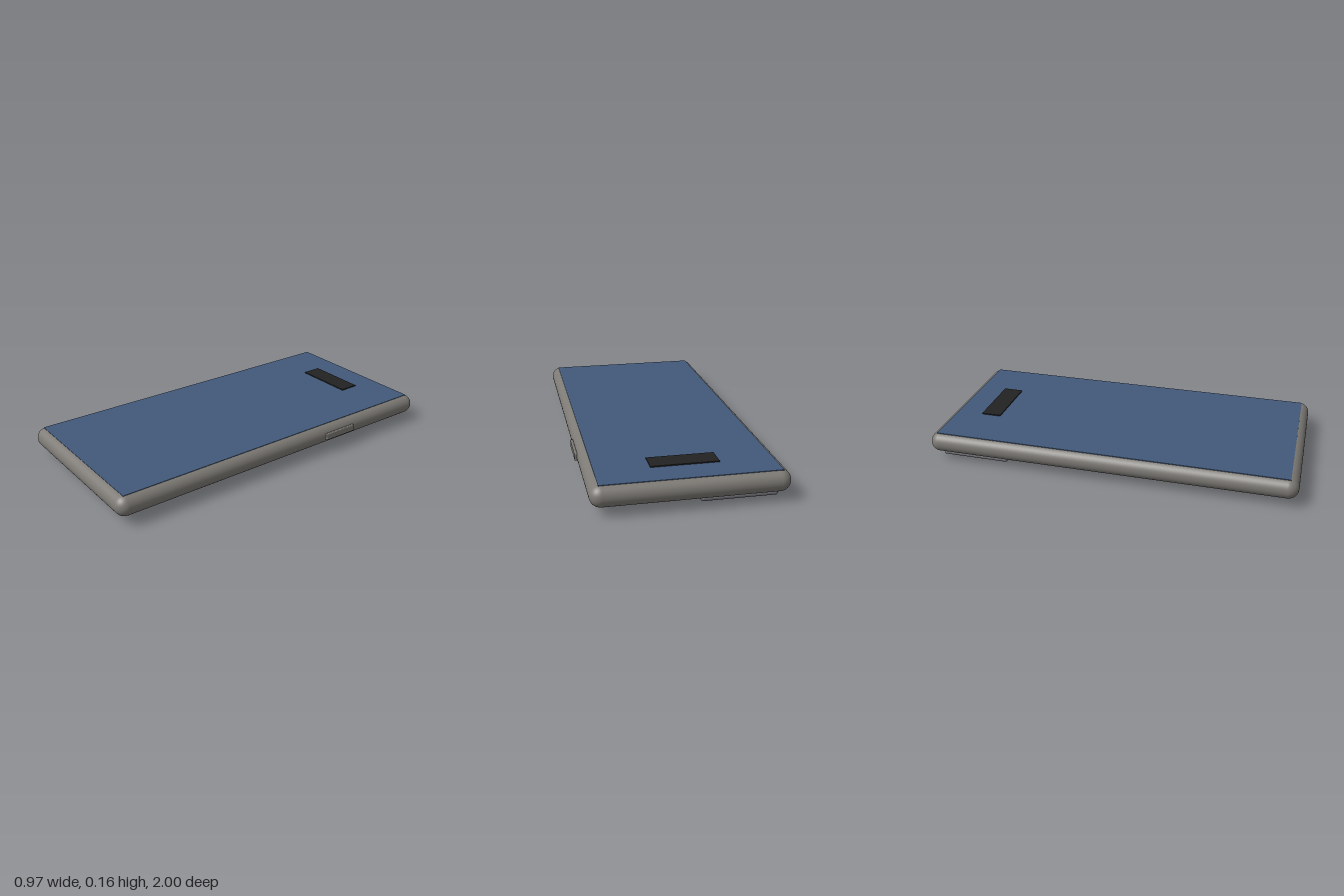
import * as THREE from 'three';
import { RoundedBoxGeometry } from 'three/addons/geometries/RoundedBoxGeometry.js';

const material = (color) => new THREE.MeshStandardMaterial({ color });

export function createModel() {
  const phone = new THREE.Group();
  phone.name = 'phone';

  const frameGrey = material(0x7d7a75);
  const plateGrey = material(0x74747a);
  const screenBlue = material(0x42597a);
  const black = material(0x222222);
  const lensBlack = material(0x17171b);

  const add = (name, geometry, mat, x, y, z, parent = phone) => {
    const mesh = new THREE.Mesh(geometry, mat);
    mesh.name = name;
    mesh.position.set(x, y, z);
    parent.add(mesh);
    return mesh;
  };

  // Body with fully rounded edges, lying on its back
  add('body', new RoundedBoxGeometry(0.96, 0.11, 2, 8, 0.055), frameGrey, -0.006, 0.098, 0);

  // Screen and the dark cutout near its top edge
  add('screen', new THREE.BoxGeometry(0.88, 0.006, 1.916), screenBlue, -0.008, 0.151, -0.002);
  add('screenCutout', new THREE.BoxGeometry(0.34, 0.008, 0.11), black, -0.007, 0.156, -0.757);

  // Side button on the +x edge
  add('sideButton', new RoundedBoxGeometry(0.016, 0.038, 0.204, 3, 0.005), frameGrey, 0.478, 0.098, -0.385);

  // Camera plate on the back
  add('cameraPlate', new RoundedBoxGeometry(0.381, 0.028, 0.378, 5, 0.013), plateGrey, -0.2435, 0.028, -0.752);

  // Three lenses in an L, each a rounded ring around dark glass
  const ring = new THREE.TorusGeometry(0.057, 0.013, 14, 48).rotateX(Math.PI / 2);
  const glass = new THREE.CylinderGeometry(0.056, 0.056, 0.014, 48);
  const spots = [[-0.173, -0.822], [-0.312, -0.822], [-0.312, -0.687]];
  spots.forEach(([x, z], i) => {
    const lens = new THREE.Group();
    lens.name = `cameraLens${i + 1}`;
    lens.position.set(x, 0, z);
    add('lensRing', ring, plateGrey, 0, 0.013, 0, lens);
    add('lensGlass', glass, lensBlack, 0, 0.01, 0, lens);
    phone.add(lens);
  });

  return phone;
}
